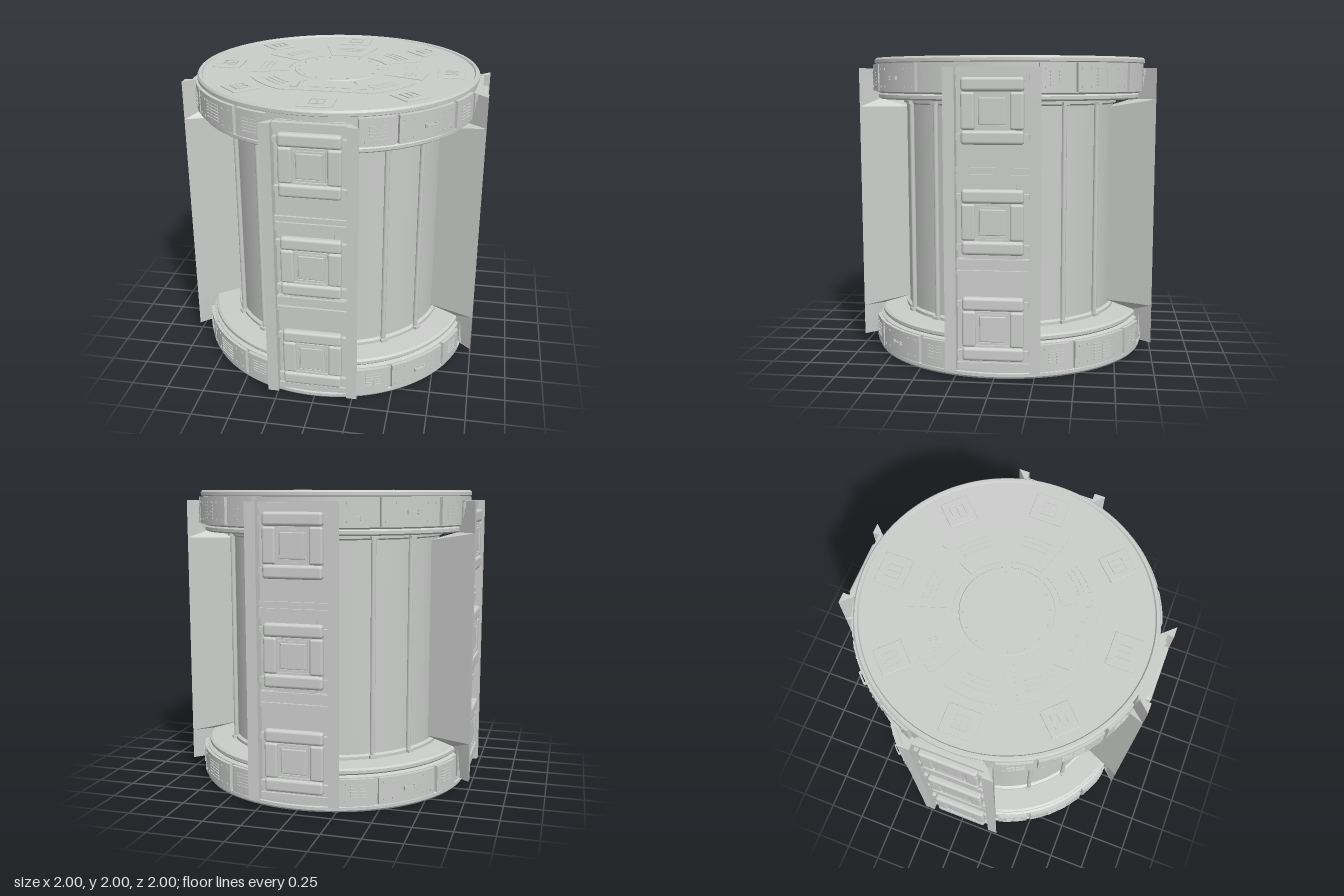
import * as THREE from 'three';
import { toCreasedNormals } from 'three/addons/utils/BufferGeometryUtils.js';
import { RoundedBoxGeometry } from 'three/addons/geometries/RoundedBoxGeometry.js';

const hull = new THREE.MeshStandardMaterial({ color: 0xcbcdcb });
hull.name = 'hullGrey';
const rad = THREE.MathUtils.degToRad;

function add(parent, name, geo, x = 0, y = 0, z = 0) {
  const m = new THREE.Mesh(geo, hull);
  m.name = name;
  m.position.set(x, y, z);
  parent.add(m);
  return m;
}
const box = (p, name, w, h, d, x, y, z) => add(p, name, new THREE.BoxGeometry(w, h, d), x, y, z);
const soft = (p, name, w, h, d, x, y, z, r = 0.015) =>
  add(p, name, new RoundedBoxGeometry(w, h, d, 2, r), x, y, z);

// Empty pivot turned about the vertical axis, 0 = front, 90 = +x
function pivot(parent, name, deg) {
  const g = new THREE.Group();
  g.name = name;
  g.rotation.y = rad(deg);
  parent.add(g);
  return g;
}

// Curved plate between two radii and two angles
function arcPlate(r0, r1, a0, a1, h) {
  const s = new THREE.Shape();
  s.absarc(0, 0, r1, rad(a0 - 90), rad(a1 - 90), false);
  s.absarc(0, 0, r0, rad(a1 - 90), rad(a0 - 90), true);
  const g = new THREE.ExtrudeGeometry(s, { depth: h, bevelEnabled: false, curveSegments: 10 });
  g.rotateX(-Math.PI / 2);
  return toCreasedNormals(g, 0.5);
}

function frame(w, h, t, d) {
  const s = new THREE.Shape([[-1, -1], [1, -1], [1, 1], [-1, 1]].map(([a, b]) => new THREE.Vector2(a * w / 2, b * h / 2)));
  const k = [[-1, -1], [-1, 1], [1, 1], [1, -1]].map(([a, b]) => new THREE.Vector2(a * (w / 2 - t), b * (h / 2 - t)));
  s.holes.push(new THREE.Path(k));
  return new THREE.ExtrudeGeometry(s, { depth: d, bevelEnabled: false });
}

const lathe = (pts) => toCreasedNormals(
  new THREE.LatheGeometry(pts.map(([r, y]) => new THREE.Vector2(r, y)), 96), 0.5);

// End drum, modelled as the upper one
function makeEnd(name, parity, withLabel) {
  const end = new THREE.Group();
  end.name = name;
  add(end, 'endDrum', lathe([[0.7, 1.68], [0.74, 1.7], [0.74, 1.72], [0.895, 1.725], [0.91, 1.735], [0.91, 1.755],
    [0.9, 1.765], [0.925, 1.775], [0.925, 1.96], [0.935, 1.965], [0.935, 1.985], [0.925, 1.998],
    [0.907, 1.998], [0.9, 1.987], [0, 1.987]]));
  // Rim plates with vents, screws and handles
  for (let q = 0; q < 4; q++) {
    const quad = pivot(end, 'rimQuarter', q * 90);
    for (const [a0, a1] of [[17, 30.3], [32, 58], [59.7, 73]])
      add(quad, 'rimPlate', arcPlate(0.92, 0.948, a0, a1, 0.175), 0, 1.78, 0);
    const vents = (deg, rows, w) => {
      const p = pivot(quad, 'vents', deg);
      for (let i = 0; i < rows; i++)
        for (const s of [-1, 1]) box(p, 'slat', w, 0.008, 0.008, s * w * 0.56, 1.82 + i * 0.02, 0.949);
    };
    const screws = (deg) => {
      const p = pivot(quad, 'screws', deg);
      for (const y of [1.81, 1.92]) box(p, 'screw', 0.012, 0.012, 0.008, 0, y, 0.949);
    };
    [19.5, 34, 38, 52, 56, 70.5].forEach(screws);
    vents(24, 5, 0.05);
    vents(66, 5, 0.05);
    if (q % 2 === parity) {
      const p = pivot(quad, 'rimHandle', 45);
      box(p, 'grip', 0.08, 0.012, 0.01, 0, 1.865, 0.96);
      for (const s of [-1, 1]) box(p, 'gripFoot', 0.012, 0.025, 0.02, s * 0.038, 1.865, 0.952);
    } else vents(45, 6, 0.07);
  }
  // Hub disc and its bolts
  add(end, 'hubDisc', new THREE.CylinderGeometry(0.29, 0.295, 0.008, 64), 0, 1.989, 0);
  for (let i = 0; i < 16; i++)
    add(pivot(end, 'hubBolt', i * 22.5), 'bolt', new THREE.CylinderGeometry(0.007, 0.007, 0.006, 8), 0, 1.995, 0.265);
  for (let i = 0; i < 8; i++) {
    const p = pivot(end, 'endSector', i * 45);
    // Square hatch
    const tilt = i % 2 ? 0.18 : 0.215;
    soft(p, 'hatchPad', tilt, 0.012, 0.18, 0, 1.988, 0.75, 0.004);
    const f = add(p, 'hatchFrame', frame(0.095, 0.095, 0.01, 0.005), 0, 1.994, 0.75);
    f.rotation.x = -Math.PI / 2;
    box(p, 'hatchBar', 0.008, 0.005, 0.08, 0, 1.9965, 0.75);
    box(p, 'hatchTick', 0.03, 0.004, 0.006, 0, 1.989, 0.662);
    if (i === 0 && withLabel) continue;
    // Wedge panel with curved slats
    add(p, 'wedgePanel', arcPlate(0.33, 0.6, -18, 18, 0.005), 0, 1.986, 0);
    for (let k = 0; k < 3; k++)
      add(p, 'wedgeSlat', arcPlate(0.45 + k * 0.035, 0.462 + k * 0.035, -11, 11, 0.004), 0, 1.99, 0);
  }
  if (withLabel) {
    box(end, 'servicePlate', 0.54, 0.006, 0.15, 0, 1.988, 0.45);
    box(end, 'serviceLever', 0.045, 0.01, 0.1, -0.205, 1.994, 0.43);
    for (let i = 0; i < 4; i++) box(end, 'serviceKey', 0.06, 0.006, 0.025, -0.075 + i * 0.1, 1.993, 0.45);
  }
  return end;
}

// Column body lofted through four levels: [height, inner half width, inner depth]
function columnGeometry() {
  const levels = [[0.07, 0.19, 0.9], [0.275, 0.19, 0.88], [0.33, 0.16, 0.69],
    [1.67, 0.16, 0.69], [1.725, 0.19, 0.88], [1.93, 0.19, 0.9]];
  const pos = [], idx = [];
  for (const [y, w, d] of levels)
    for (const [x, z] of [[-0.295, 1], [-0.225, 1], [-0.225, 0.925], [0.225, 0.925], [0.225, 1], [0.295, 1], [w, d], [-w, d]])
      pos.push(x, y, z);
  const n = 8, top = (levels.length - 1) * n;
  for (let l = 0; l < levels.length - 1; l++)
    for (let i = 0; i < n; i++) {
      const a = l * n + i, b = l * n + (i + 1) % n;
      idx.push(a, b, b + n, a, b + n, a + n);
    }
  for (const [a, b, c] of [[0, 1, 2], [0, 2, 7], [2, 3, 7], [3, 6, 7], [3, 5, 6], [3, 4, 5]])
    idx.push(a, c, b, top + a, top + b, top + c);
  const g = new THREE.BufferGeometry();
  g.setAttribute('position', new THREE.Float32BufferAttribute(pos, 3));
  g.setIndex(idx);
  return toCreasedNormals(g, 0.2);
}

// Equipment pod on a column
function addPod(col, y) {
  const pod = new THREE.Group();
  pod.name = 'pod';
  pod.position.y = y;
  col.add(pod);
  box(pod, 'podBase', 0.37, 0.36, 0.04, 0, 0, 0.955);
  for (const s of [-1, 1]) {
    soft(pod, 'podBar', 0.38, 0.085, 0.055, 0, s * 0.158, 0.968, 0.02);
    soft(pod, 'podCheek', 0.085, 0.225, 0.045, s * 0.148, 0, 0.968);
    box(pod, 'screenEdge', 0.21, 0.012, 0.03, 0, s * 0.106, 0.972);
    for (const t of [-1, 1]) box(pod, 'podClip', 0.04, 0.035, 0.03, s * 0.2, t * 0.155, 0.958);
  }
  add(pod, 'screenFrame', frame(0.19, 0.19, 0.012, 0.012), 0, 0, 0.974);
  soft(pod, 'screen', 0.16, 0.16, 0.016, 0, 0, 0.977, 0.006);
}

export function createModel() {
  const model = new THREE.Group();
  model.name = 'cargoDrum';
  // Core
  add(model, 'core', new THREE.CylinderGeometry(0.72, 0.72, 1.46, 96, 1, true), 0, 1, 0);
  // End drums
  model.add(makeEnd('upperEnd', 0, true));
  const lower = makeEnd('lowerEnd', 1, false);
  lower.rotation.x = Math.PI;
  lower.position.y = 2;
  model.add(lower);
  // Four columns with pods, and the rods between them
  const body = columnGeometry();
  for (let q = 0; q < 4; q++) {
    const col = pivot(model, 'column', q * 90);
    add(col, 'columnBody', body);
    for (const s of [-1, 1]) {
      box(col, 'backPanel', 0.44, 0.695, 0.03, 0, 1 + s * 0.5775, 0.93);
      box(col, 'crossBand', 0.45, 0.055, 0.04, 0, 1 + s * 0.26, 0.94);
      box(col, 'crossStrip', 0.45, 0.028, 0.04, 0, 1 + s * 0.316, 0.942);
      box(col, 'endStrip', 0.45, 0.04, 0.04, 0, 1 + s * 0.905, 0.94);
    }
    box(col, 'middlePanel', 0.28, 0.46, 0.03, 0, 1, 0.93);
    for (const y of [0.335, 1, 1.67]) addPod(col, y);
    for (const a of [34, 56]) {
      const p = pivot(model, 'rodMount', q * 90 + a);
      add(p, 'rod', new THREE.CylinderGeometry(0.016, 0.016, 1.42, 12), 0, 1, 0.738);
      for (const y of [0.295, 1.705]) box(p, 'rodFoot', 0.045, 0.02, 0.05, 0, y, 0.74);
    }
  }
  return model;
}
